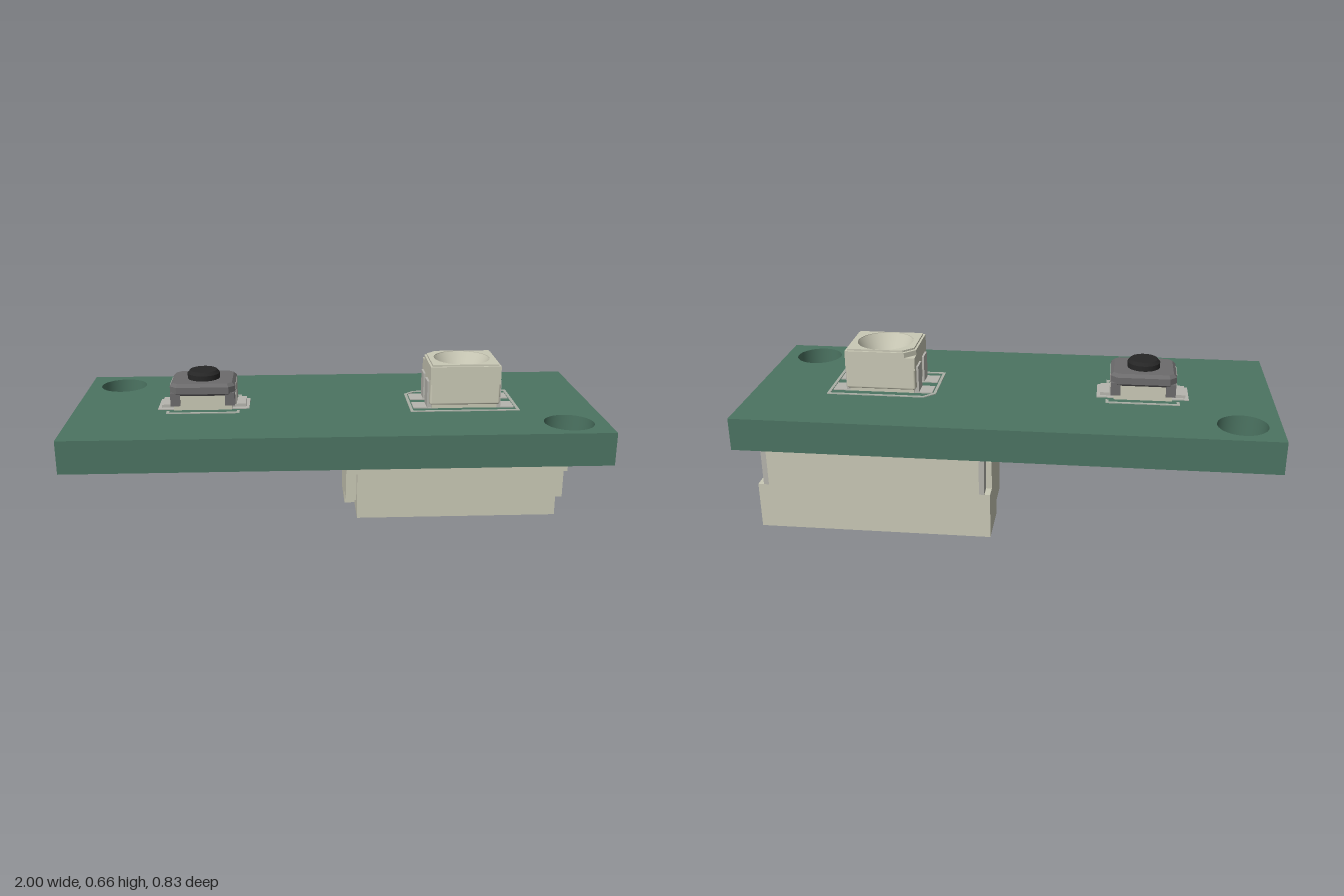
import * as THREE from 'three';
import { toCreasedNormals } from 'three/addons/utils/BufferGeometryUtils.js';
import { RoundedBoxGeometry } from 'three/addons/geometries/RoundedBoxGeometry.js';

const mat = (color) => new THREE.MeshStandardMaterial({ color, side: THREE.DoubleSide });
const green = mat(0x4c7462), beige = mat(0xcac9b6), metal = mat(0xb6b5ae);
const silk = mat(0xaab0a6), dark = mat(0x6c6b6c), black = mat(0x262626);

function add(parent, name, geometry, material) {
  const mesh = new THREE.Mesh(geometry, material);
  mesh.name = name;
  parent.add(mesh);
  return mesh;
}

// Box given by its limits on each axis
function box(parent, name, material, x0, x1, y0, y1, z0, z1) {
  const m = add(parent, name, new THREE.BoxGeometry(x1 - x0, y1 - y0, z1 - z0), material);
  m.position.set((x0 + x1) / 2, (y0 + y1) / 2, (z0 + z1) / 2);
  return m;
}

// Outline of [x, z] points, and a round hole, for plates lying flat
const plan = (pts) => new THREE.Shape(pts.map(([x, z]) => new THREE.Vector2(x, -z)));
const rect = (x0, x1, z0, z1) => [[x0, z0], [x1, z0], [x1, z1], [x0, z1]];
const hole = (x, z, r) => new THREE.Path().absarc(x, -z, r, 0, Math.PI * 2, true);

// Extrude a plan upwards from y0 to y1
function plate(parent, name, material, shape, y0, y1) {
  const g = new THREE.ExtrudeGeometry(shape, { depth: y1 - y0, bevelEnabled: false, curveSegments: 24 });
  g.rotateX(-Math.PI / 2).translate(0, y0, 0);
  return add(parent, name, toCreasedNormals(g, 0.5), material);
}

// Extrude a side profile of [z, y] points along x
function sideProfile(parent, name, material, pts, x0, x1) {
  const shape = new THREE.Shape(pts.map(([z, y]) => new THREE.Vector2(-z, y)));
  const g = new THREE.ExtrudeGeometry(shape, { depth: x1 - x0, bevelEnabled: false });
  g.rotateY(Math.PI / 2).translate(x0, 0, 0);
  return add(parent, name, g, material);
}

function makeGroup(parent, name) {
  const g = new THREE.Group();
  g.name = name;
  parent.add(g);
  return g;
}

const TOP = 0.485, BOTTOM = 0.36;

function buildButton(root) {
  const g = makeGroup(root, 'pushButton');
  g.position.set(-0.505, 0, 0);
  box(g, 'buttonBase', beige, -0.11, 0.11, 0.492, 0.55, -0.095, 0.095);
  // Bevelled cover with cut corners
  const a = 0.112, b = 0.092, c = 0.018;
  const cover = new THREE.Shape([
    [-a + c, -b], [a - c, -b], [a, -b + c], [a, b - c], [a - c, b], [-a + c, b], [-a, b - c], [-a, -b + c],
  ].map(([x, y]) => new THREE.Vector2(x, y)));
  const cg = new THREE.ExtrudeGeometry(cover, { depth: 0.026, bevelThickness: 0.012, bevelSize: 0.012, bevelSegments: 1 });
  cg.rotateX(-Math.PI / 2).translate(0, 0.557, 0);
  add(g, 'buttonCover', cg, dark);
  // Plunger with a softened rim
  const plunger = new THREE.LatheGeometry(
    [[0.062, 0.59], [0.062, 0.615], [0.052, 0.627], [0, 0.627]].map(([x, y]) => new THREE.Vector2(x, y)), 32);
  add(g, 'plunger', toCreasedNormals(plunger, 0.5), black);
  for (const s of [-1, 1]) {
    // Folded side leads
    const lead = makeGroup(g, 'buttonLead');
    lead.scale.x = s;
    box(lead, 'leadRiser', metal, 0.108, 0.126, 0.495, 0.583, -0.05, 0.05);
    box(lead, 'leadFoot', metal, 0.11, 0.162, 0.489, 0.501, -0.05, 0.05);
    box(lead, 'solderPad', metal, 0.1, 0.175, TOP, 0.489, -0.065, 0.065);
    // Outline marks and cover corner tabs, front and back
    for (const t of [-1, 1]) {
      const z = (p, q) => (t > 0 ? [p, q] : [-q, -p]);
      box(lead, 'coverTab', dark, 0.085, 0.122, 0.51, 0.56, ...z(0.06, 0.101));
      box(lead, 'outlineEnd', silk, 0.128, 0.139, TOP, 0.488, ...z(0.088, 0.12));
      box(lead, 'outlineBar', silk, 0, 0.139, TOP, 0.488, ...z(0.109, 0.12));
    }
  }
}

function buildLight(root) {
  const g = makeGroup(root, 'lightPackage');
  g.position.set(0.497, 0, 0);
  box(g, 'lightBase', beige, -0.125, 0.125, 0.489, 0.51, -0.103, 0.103);
  const lower = new RoundedBoxGeometry(0.27, 0.09, 0.234, 2, 0.008);
  lower.translate(0, 0.55, 0);
  add(g, 'lightBody', lower, beige);
  // Rim with a marked corner, open for the reflector cup
  const rim = plan([[-0.095, -0.117], [0.135, -0.117], [0.135, 0.117], [-0.135, 0.117], [-0.135, -0.077]]);
  const full = plan(rect(-0.135, 0.135, -0.117, 0.117));
  const top = plan([[-0.088, -0.109], [0.127, -0.109], [0.127, 0.109], [-0.127, 0.109], [-0.127, -0.07]]);
  for (const s of [rim, full, top]) s.holes.push(hole(0, 0, 0.108));
  plate(g, 'lightBody', beige, full, 0.585, 0.635);
  plate(g, 'lightRim', beige, rim, 0.635, 0.655);
  plate(g, 'lightRimTop', beige, top, 0.655, 0.662);
  const cup = new THREE.LatheGeometry(
    [[0, 0.597], [0.076, 0.597], [0.108, 0.66]].map(([x, y]) => new THREE.Vector2(x, y)), 40);
  add(g, 'reflectorCup', toCreasedNormals(cup, 0.4), beige);
  // Four folded leads on their pads
  for (const s of [-1, 1]) for (const z of [-0.0575, 0.0575]) {
    const lead = makeGroup(g, 'lightLead');
    lead.scale.x = s;
    lead.position.z = z;
    box(lead, 'leadRiser', metal, 0.13, 0.143, 0.492, 0.592, -0.033, 0.033);
    box(lead, 'leadFoot', metal, 0.07, 0.143, 0.489, 0.499, -0.033, 0.033);
    box(lead, 'solderPad', metal, 0.1, 0.195, TOP, 0.489, -0.036, 0.036);
  }
  // Printed outline with one cut corner
  const outline = plan([[-0.17, -0.138], [0.21, -0.138], [0.21, 0.136], [-0.21, 0.136], [-0.21, -0.098]]);
  outline.holes.push(plan([[-0.165, -0.127], [0.199, -0.127], [0.199, 0.125], [-0.199, 0.125], [-0.199, -0.093]]));
  plate(g, 'printedOutline', silk, outline, TOP, 0.488);
}

function buildConnector(root) {
  const g = makeGroup(root, 'cableConnector');
  g.position.set(0.4975, 0, 0);
  const W = 0.4475, IN = W - 0.042, CAV = IN - 0.03;
  const topEdge = [[0.025, 0.285], [0.008, 0.285], [0.008, 0.298], [-0.055, 0.298], [-0.055, 0.338]];
  // Roof, front and back walls around a socket open at the bottom
  sideProfile(g, 'housingRoof', beige, [[0.025, 0.22], ...topEdge, [-0.33, 0.338], [-0.33, 0.22]], -CAV, CAV);
  box(g, 'frontWall', beige, -CAV, CAV, 0, 0.22, -0.012, 0.025);
  box(g, 'backWall', beige, -CAV, CAV, 0, 0.22, -0.33, -0.288);
  const inner = [[0.025, 0], ...topEdge, [-0.33, 0.338], [-0.33, 0]];
  // End skin with the stepped front recess and the tab slot
  const outer = [[-0.138, 0], [-0.138, 0.057], [-0.027, 0.057], [-0.027, 0.19], [0.025, 0.19], ...topEdge,
    [-0.143, 0.338], [-0.143, 0.29], [-0.275, 0.29], [-0.275, 0.18], [-0.33, 0.18], [-0.33, 0]];
  const tab = [[-0.143, 0.29], [-0.143, 0.352], [-0.33, 0.352], [-0.33, 0.18], [-0.275, 0.18], [-0.275, 0.29]];
  for (const s of [-1, 1]) {
    const span = (a, b) => (s > 0 ? [a, b] : [-b, -a]);
    sideProfile(g, 'endWall', beige, inner, ...span(CAV, IN));
    sideProfile(g, 'endSkin', beige, outer, ...span(IN, W));
    sideProfile(g, 'mountingTab', metal, tab, ...span(IN, IN + 0.02));
    box(g, 'tabPad', metal, ...span(IN - 0.03, W + 0.005), 0.355, BOTTOM, -0.355, -0.125);
    box(g, 'tabFoot', metal, ...span(IN - 0.01, IN + 0.03), 0.338, 0.355, -0.33, -0.143);
  }
  // Six bent contacts: solder foot, step, and prong inside the socket
  for (let i = 0; i < 6; i++) {
    const x = (i - 2.5) * 0.1045, w = 0.011;
    sideProfile(g, 'contactFoot', metal, [[0.082, 0.328], [0.082, 0.355], [0, 0.355], [0, 0.332], [-0.055, 0.332],
      [-0.055, 0.298], [0.025, 0.298], [0.025, 0.328]], x - w, x + w);
    box(g, 'contactProng', metal, x - w, x + w, 0.06, 0.23, -0.125, -0.103);
    box(g, 'contactPad', metal, x - 0.027, x + 0.027, 0.356, BOTTOM, -0.03, 0.107);
  }
}

export function createModel() {
  const root = new THREE.Group();
  root.name = 'circuitBoardAssembly';
  // Board with two mounting holes
  const board = plan(rect(-1, 1, -0.414, 0.414));
  board.holes.push(hole(-0.86, -0.28, 0.092), hole(0.857, 0.288, 0.092));
  plate(root, 'circuitBoard', green, board, BOTTOM, TOP);
  buildButton(root);
  buildLight(root);
  buildConnector(root);
  return root;
}
